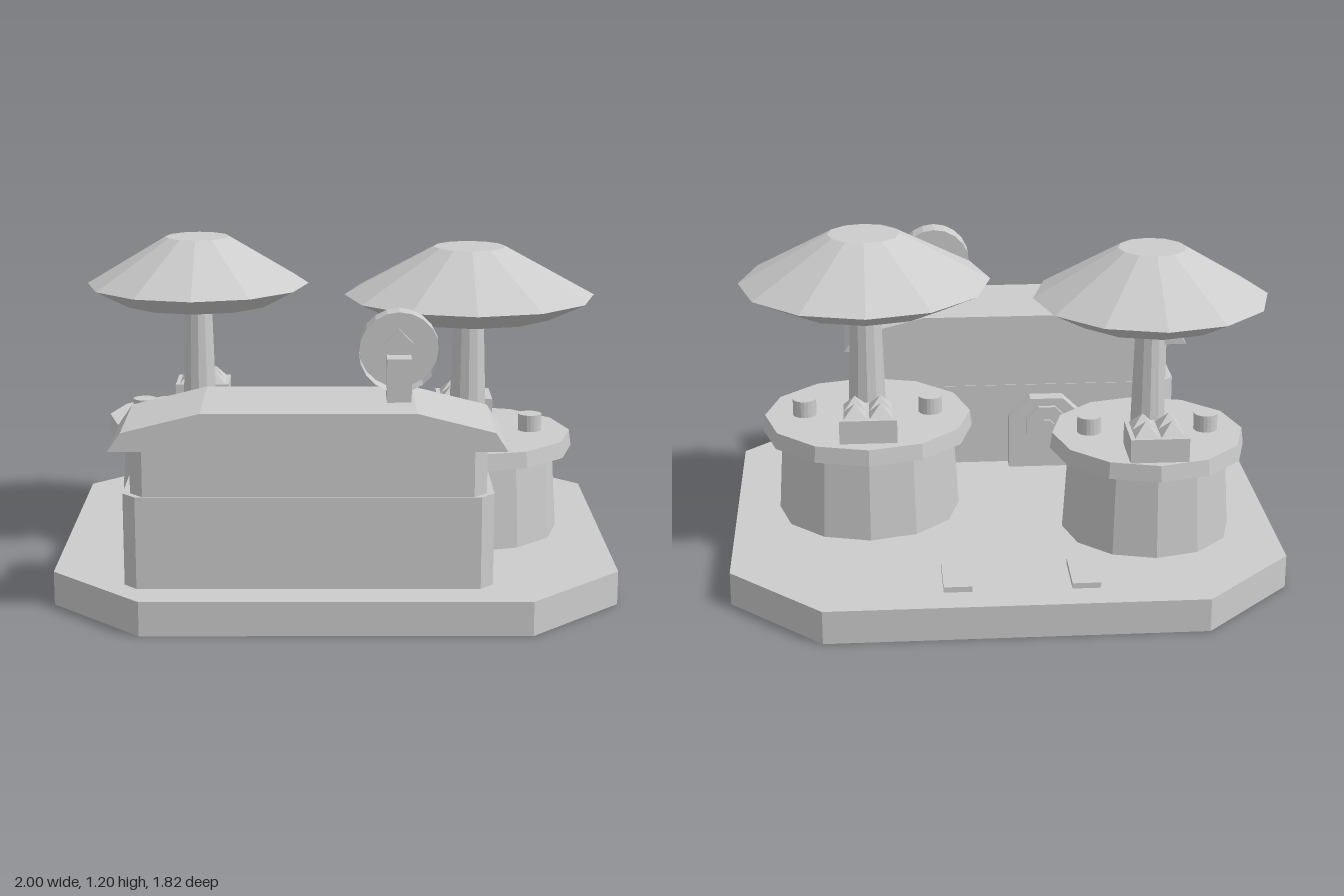
import * as THREE from 'three';

export function createModel() {
  const model = new THREE.Group();
  const stone = new THREE.MeshStandardMaterial({ color: 0xcccccc, flatShading: true });
  stone.name = 'pale grey';
  stone.side = THREE.DoubleSide;

  const add = (name, geometry, x = 0, y = 0, z = 0, parent = model) => {
    const mesh = new THREE.Mesh(geometry, stone);
    mesh.name = name;
    mesh.position.set(x, y, z);
    parent.add(mesh);
    return mesh;
  };
  const outline = (points) => new THREE.Shape(points.map(([x, y]) => new THREE.Vector2(x, y)));
  const extrude = (points, depth) => new THREE.ExtrudeGeometry(outline(points), { depth, bevelEnabled: false });
  // Rectangle with its four corners cut off
  const cutCorners = (w, d, cx, cz) => [
    [w - cx, -d], [w, -d + cz], [w, d - cz], [w - cx, d],
    [-w + cx, d], [-w, d - cz], [-w, -d + cz], [-w + cx, -d],
  ];
  const cutBlock = (w, d, h, cx, cz) => extrude(cutCorners(w, d, cx, cz), h).rotateX(-Math.PI / 2);

  // Ground slab: a top plate with eight side walls, hollow underneath
  const floorY = 0.122;
  const base = new THREE.Group();
  base.name = 'base';
  model.add(base);
  const rim = cutCorners(1, 0.911, 0.33, 0.33);
  add('baseTop', new THREE.ShapeGeometry(outline(rim)).rotateX(-Math.PI / 2), 0, floorY, 0, base);
  rim.forEach(([x1, y1], i) => {
    const [x2, y2] = rim[(i + 1) % rim.length];
    const wall = new THREE.PlaneGeometry(Math.hypot(x2 - x1, y2 - y1), floorY);
    wall.rotateY(Math.atan2(y2 - y1, x2 - x1));
    add('baseWall', wall, (x1 + x2) / 2, floorY / 2, -(y1 + y2) / 2, base);
  });
  // Two small paving plates
  for (const x of [-0.25, 0.2]) add('pavingPlate', new THREE.BoxGeometry(0.1, 0.02, 0.205), x, floorY + 0.01, -0.69);

  // Counter building, narrower in its upper part
  add('counterLower', cutBlock(0.639, 0.189, 0.45 - floorY, 0.046, 0.05), -0.095, floorY, 0.585);
  add('counterUpper', cutBlock(0.613, 0.186, 0.17, 0.046, 0.05), -0.095, 0.45, 0.585);
  add('roof', extrude([
    [-0.775, 0.615], [0.582, 0.615], [0.54, 0.68], [0.272, 0.747], [-0.46, 0.747], [-0.73, 0.68],
  ], 0.423), 0, 0, 0.369);

  // Arched rear doorway with a stepped round emblem
  const doorway = new THREE.Group();
  doorway.name = 'rearDoorway';
  doorway.position.x = -0.215;
  model.add(doorway);
  add('doorArch', extrude([
    [-0.15, floorY], [0.15, floorY], [0.15, 0.33], [0.065, 0.41], [-0.065, 0.41], [-0.15, 0.33],
  ], 0.07), 0, 0, 0.335, doorway);
  for (const [r, z] of [[0.086, 0.318], [0.03, 0.308]]) {
    const disc = new THREE.CylinderGeometry(r, r, 0.03, 8).rotateY(Math.PI / 8).rotateX(Math.PI / 2);
    add('doorEmblem', disc, 0, 0.3, z + 0.015, doorway);
  }

  // Round roof sign: rim, face at the back, post and pointer
  const sign = new THREE.Group();
  sign.name = 'roofSign';
  sign.position.set(0.218, 0.921, 0.57);
  model.add(sign);
  add('signRim', new THREE.CylinderGeometry(0.14, 0.14, 0.088, 20, 1, true).rotateX(Math.PI / 2), 0, 0, 0, sign);
  add('signFace', new THREE.CylinderGeometry(0.139, 0.139, 0.01, 20).rotateX(Math.PI / 2), 0, 0, -0.039, sign);
  add('signPost', new THREE.BoxGeometry(0.085, 0.155, 0.106), 0, -0.1, 0.005, sign);
  add('signPointer', extrude([
    [-0.035, -0.025], [0.035, -0.025], [0.053, 0.015], [0, 0.07], [-0.053, 0.015],
  ], 0.03), 0, 0, -0.048, sign);

  // Round table with parasol, two cups and a crate of pointed goods
  const parasolTable = (name, x, z, parasolR, bodyR, topR, poleR) => {
    const g = new THREE.Group();
    g.name = name;
    g.position.set(x, 0, z);
    model.add(g);
    const bodyH = 0.44 - floorY;
    add('tableBody', new THREE.CylinderGeometry(bodyR - 0.02, bodyR, bodyH, 12), 0, floorY + bodyH / 2, 0, g);
    add('tableTop', new THREE.CylinderGeometry(topR - 0.008, topR, 0.06, 12), 0, 0.467, 0, g);
    add('pole', new THREE.CylinderGeometry(poleR * 0.78, poleR, 0.47, 12), 0, 0.725, 0, g);
    const profile = [[0, 0.946], [0.69 * parasolR, 0.946], [parasolR, 1.016], [0.287 * parasolR, 1.197], [0, 1.197]];
    add('parasol', new THREE.LatheGeometry(profile.map(([r, y]) => new THREE.Vector2(r, y)), 12), 0, 0, 0, g);
    for (const side of [-1, 1]) {
      add('cup', new THREE.CylinderGeometry(0.044, 0.044, 0.064, 20), side * 0.6 * topR, 0.528, 0, g);
    }
    add('crate', new THREE.BoxGeometry(0.21, 0.09, 0.193), 0, 0.54, -0.224, g);
    for (const dx of [-0.047, 0.047]) for (const dz of [-0.041, 0.041]) {
      const cone = new THREE.ConeGeometry(0.062, 0.05, 4).rotateY(Math.PI / 4);
      add('crateGoods', cone, dx, 0.608, -0.224 + dz, g);
    }
  };
  parasolTable('leftTable', 0.497, 0.003, 0.465, 0.342, 0.394, 0.071);
  parasolTable('rightTable', -0.53, -0.254, 0.426, 0.312, 0.36, 0.065);

  return model;
}
